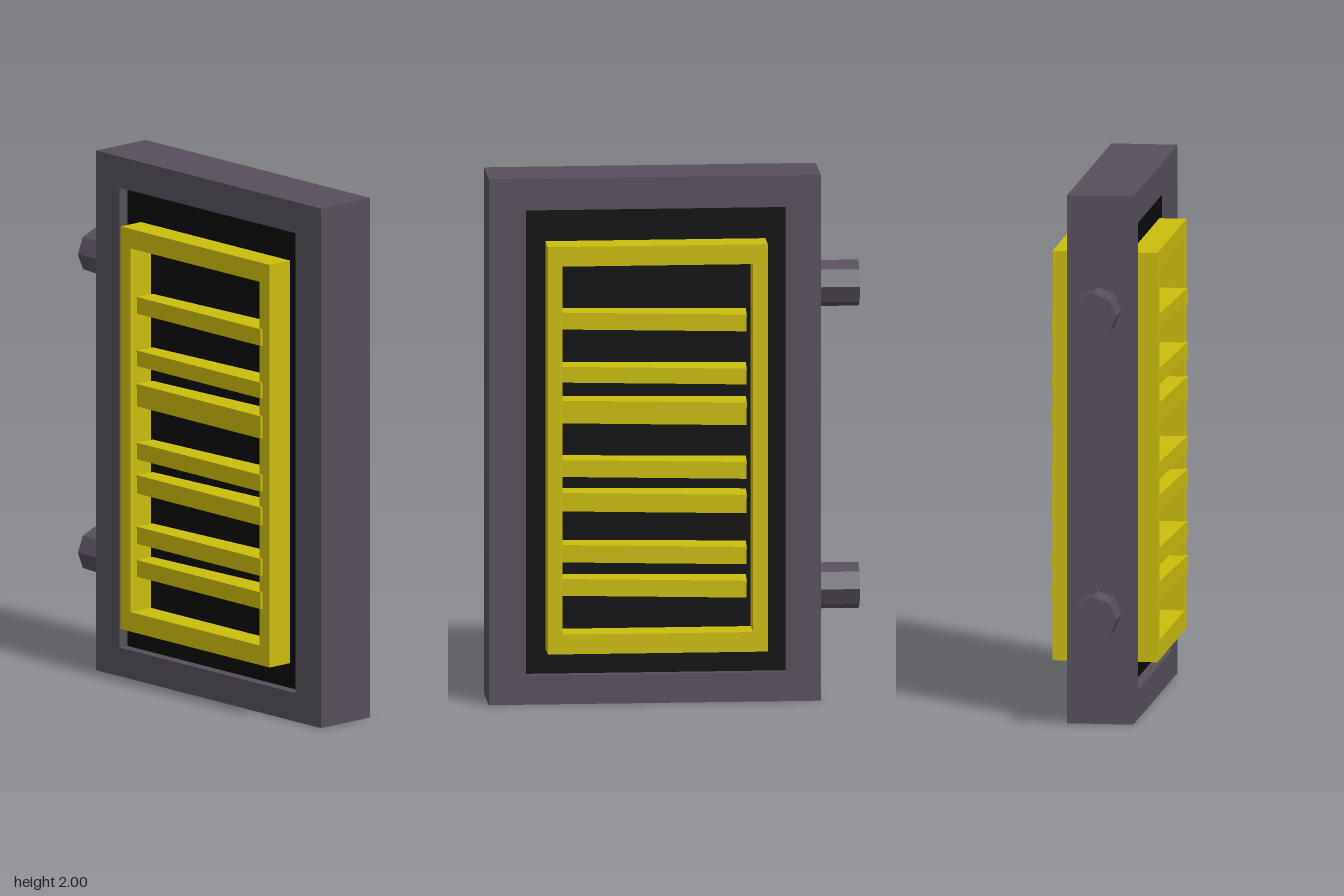
import * as THREE from 'three';

const material = (color) => new THREE.MeshStandardMaterial({ color, flatShading: true });

// Rectangular ring between outer and inner bounds [x0, x1, y0, y1], from z0 to z1
function ring(outer, inner, z0, z1) {
  const corners = ([x0, x1, y0, y1]) => [[x0, y0], [x1, y0], [x1, y1], [x0, y1]].map(([x, y]) => new THREE.Vector2(x, y));
  const shape = new THREE.Shape(corners(outer));
  shape.holes.push(new THREE.Path(corners(inner).reverse()));
  return new THREE.ExtrudeGeometry(shape, { depth: z1 - z0, bevelEnabled: false }).translate(0, 0, z0);
}

export function createModel() {
  const model = new THREE.Group();
  model.name = 'ventPanel';
  const casing = material(0x564f5b);
  const yellow = material(0xcabd0d);
  const black = material(0x0b0b0b);

  const add = (name, geometry, mat, x = 0, y = 0, z = 0) => {
    const mesh = new THREE.Mesh(geometry, mat);
    mesh.name = name;
    mesh.position.set(x, y, z);
    model.add(mesh);
    return mesh;
  };

  // Heavy outer frame and the dark panel set into it
  const opening = [-0.42, 0.555, 0.11, 1.88];
  add('outerFrame', ring([-0.55, 0.695, 0, 2], opening, -0.11, 0.14), casing);
  add('backingPanel', new THREE.BoxGeometry(0.985, 1.78, 0.17), black, 0.0675, 0.995, 0.015);

  // Grille frame standing out on both faces
  add('grilleFrame', ring([-0.345, 0.48, 0.205, 1.755], [-0.29, 0.425, 0.28, 1.68], -0.193, 0.203), yellow);

  // Slightly crooked slats running through the panel: [centre height, thickness]
  const slats = [[1.464, 0.064], [1.26, 0.06], [1.118, 0.086], [0.903, 0.064], [0.775, 0.07], [0.579, 0.066], [0.451, 0.064]];
  slats.forEach(([y, thickness], i) => {
    const slat = add(`slat${i + 1}`, new THREE.BoxGeometry(0.725, thickness, 0.383), yellow, 0.088, y, 0.004);
    slat.rotation.set(0, -0.048, 0.015);
  });

  // Octagonal hinge pins on the right side
  for (const [name, y] of [['upperHingePin', 1.567], ['lowerHingePin', 0.417]]) {
    const pin = new THREE.CylinderGeometry(0.0875, 0.0875, 0.17, 8).rotateZ(Math.PI / 2);
    add(name, pin, casing, -0.615, y, 0.008);
  }

  return model;
}
